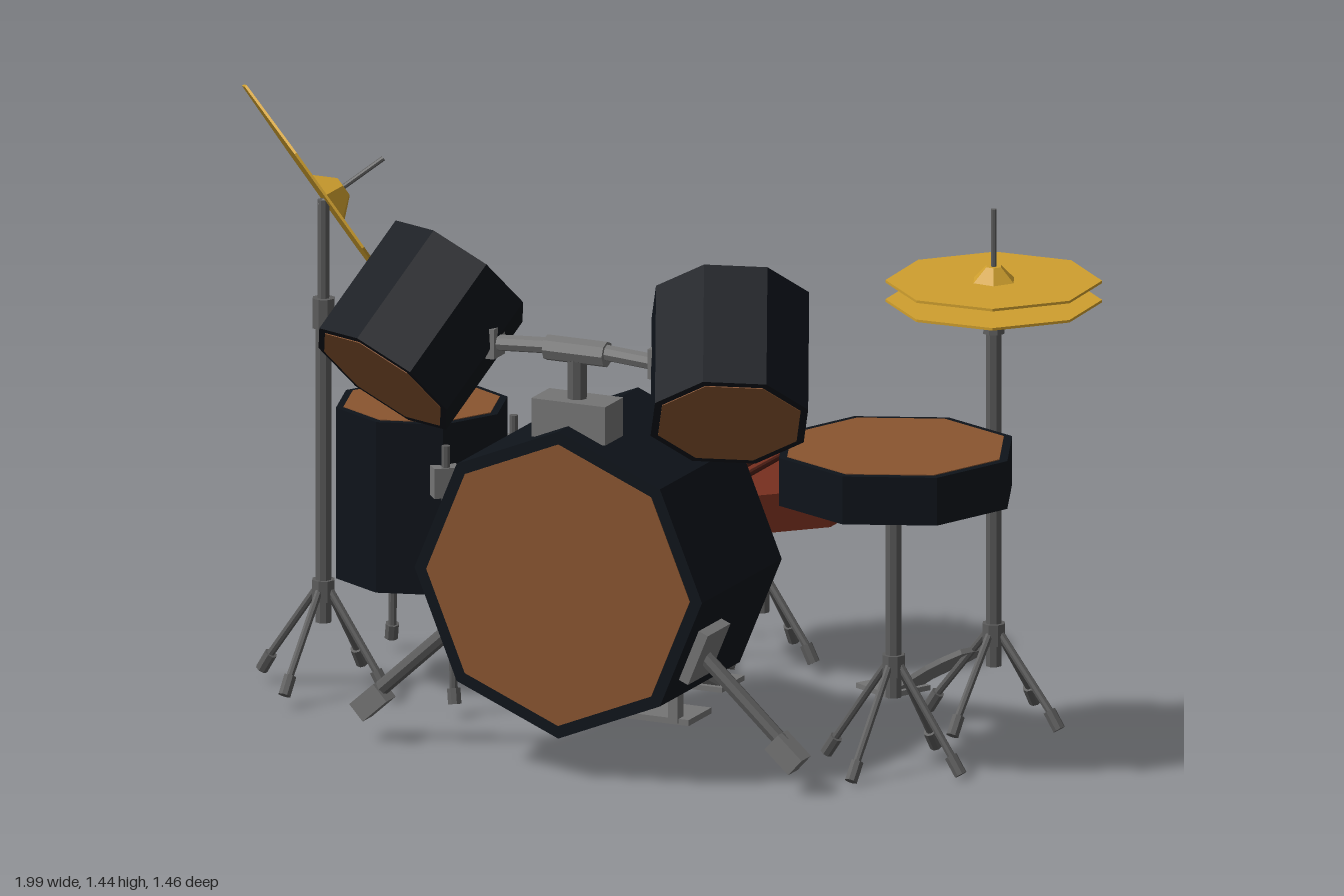
import * as THREE from 'three';

const mat = (color) => new THREE.MeshStandardMaterial({ color, flatShading: true });
const BLACK = mat(0x0e131a), SKIN = mat(0x8a5530), BRASS = mat(0xcf9f2e);
const ROD = mat(0x5c5c5c), BLOCK = mat(0x757575), RED = mat(0x78301f), STICK = mat(0x4a1d14);
const V = (x, y, z) => new THREE.Vector3(x, y, z);
const UP = V(0, 1, 0), FRONT = V(0, 0, 1);

export function createModel() {
  const kit = new THREE.Group();
  kit.name = 'drumKit';

  const group = (name) => {
    const g = new THREE.Group();
    g.name = name;
    kit.add(g);
    return g;
  };
  // Add a mesh whose local y follows n and whose local z follows u
  const put = (parent, name, geo, material, pos, n = UP, u = FRONT) => {
    const m = new THREE.Mesh(geo, material);
    m.name = name;
    const y = n.clone().normalize();
    const z = u.clone().addScaledVector(y, -u.dot(y)).normalize();
    m.quaternion.setFromRotationMatrix(
      new THREE.Matrix4().makeBasis(y.clone().cross(z), y, z));
    m.position.copy(pos);
    parent.add(m);
    return m;
  };
  const rod = (parent, name, a, b, r, material = ROD, r2 = r) => {
    const d = b.clone().sub(a);
    const u = Math.abs(d.z) > 0.9 * d.length() ? UP : FRONT;
    return put(parent, name, new THREE.CylinderGeometry(r2, r, d.length(), 8), material,
      a.clone().add(b).multiplyScalar(0.5), d, u);
  };
  const box = (parent, name, w, h, d, pos, n, u) =>
    put(parent, name, new THREE.BoxGeometry(w, h, d), BLOCK, pos, n, u);

  // Eight-sided shell with a skin on both ends
  const drum = (name, pos, n, u, r, h, rim) => {
    const g = group(name), axis = n.clone().normalize();
    put(g, 'shell', new THREE.CylinderGeometry(r, r, h, 8), BLACK, pos, n, u);
    for (const s of [-1, 1])
      put(g, 'skin', new THREE.CylinderGeometry(r - rim, r - rim, 0.004, 8), SKIN,
        pos.clone().addScaledVector(axis, s * h / 2), n, u);
    return g;
  };

  // Post with four splayed legs
  const stand = (g, x, z, top, hub, spread, floor, r = 0.019) => {
    rod(g, 'post', V(x, hub - 0.08, z), V(x, top, z), r);
    rod(g, 'hub', V(x, hub - 0.03, z), V(x, hub + 0.02, z), r + 0.008);
    for (let i = 0; i < 4; i++) {
      const a = 0.12 + i * Math.PI / 2;
      const at = (d, y) => V(x + Math.cos(a) * d, y, z + Math.sin(a) * d);
      rod(g, 'leg', at(0.015, hub), at(spread * 0.9, floor + 0.03), 0.009);
      rod(g, 'foot', at(spread * 0.85, floor + 0.04), at(spread, floor), 0.015);
    }
  };

  const cymbal = (g, name, pos, n, u, r, bell) => {
    put(g, name, new THREE.CylinderGeometry(r, r, 0.006, 8), BRASS, pos, n, u);
    if (bell) put(g, 'bell', new THREE.CylinderGeometry(bell * 0.35, bell, bell * 0.65, 6), BRASS,
      pos.clone().addScaledVector(n.clone().normalize(), bell * 0.33), n, u);
  };

  // Bass drum with its two spurs
  const bass = drum('bassDrum', V(0.05, 0.45, 0.375), FRONT, UP, 0.36, 0.42, 0.03);
  for (const s of [-1, 1]) {
    const x = (d) => 0.05 + s * d;
    box(bass, 'spurPlate', 0.13, 0.04, 0.12, V(x(0.305), 0.305, 0.47), V(s * 0.924, -0.383, 0));
    rod(bass, 'spur', V(x(0.27), 0.33, 0.47), V(x(0.51), 0.11, 0.47), 0.018);
    box(bass, 'spurFoot', 0.05, 0.08, 0.05, V(x(0.52), 0.09, 0.47), V(s, -0.9, 0));
  }

  // Tom mount on top of the bass drum
  const mount = group('tomMount');
  box(mount, 'mountBlock', 0.185, 0.09, 0.095, V(0.05, 0.82, 0.485));
  rod(mount, 'mountPost', V(0.05, 0.85, 0.485), V(0.05, 0.96, 0.485), 0.023);
  rod(mount, 'sleeve', V(-0.025, 0.975, 0.485), V(0.125, 0.975, 0.485), 0.03, BLOCK);

  // Pair of tilted toms and their arms
  for (const s of [-1, 1]) {
    const x = (d) => 0.05 + s * d;
    drum(s < 0 ? 'rightTom' : 'leftTom', V(x(0.387), 0.992, 0.495),
      V(-s * 0.095, 0.215, -0.205), V(0, 0.66, 0.72), 0.188, 0.31, 0.018);
    rod(mount, 'arm', V(x(0.06), 0.98, 0.485), V(x(0.26), 0.97, 0.495), 0.019, BLOCK);
    box(mount, 'armClamp', 0.035, 0.07, 0.06, V(x(0.21), 0.975, 0.49));
  }

  // Floor tom on bent legs
  const fx = -0.58, fz = -0.02;
  const floorTom = drum('floorTom', V(fx, 0.455, fz), UP, V(0.1, 0, -1), 0.2, 0.4, 0.018);
  for (const a of [-0.7, -2.25, 0.87]) {
    const dir = V(Math.cos(a), 0, Math.sin(a));
    const at = (d, y) => V(fx + dir.x * d, y, fz + dir.z * d);
    box(floorTom, 'legBracket', 0.06, 0.07, 0.045, at(0.205, 0.525), UP, dir);
    const bends = [at(0.215, 0.61), at(0.215, 0.24), at(0.28, 0.17), at(0.285, 0.04)];
    for (let i = 0; i < 3; i++) rod(floorTom, 'leg', bends[i], bends[i + 1], 0.01);
    rod(floorTom, 'foot', at(0.285, 0.06), at(0.295, 0.025), 0.016);
  }

  // Wide shallow drum on the left side
  const side = drum('sideDrum', V(0.695, 0.69, 0.165), UP, FRONT, 0.28, 0.112, 0.02);
  stand(side, 0.69, 0.165, 0.64, 0.24, 0.18, 0.003);

  // Tilted crash cymbal
  const crash = group('crashCymbal');
  const cn = V(0.66, 0.557, -0.5).normalize(), cp = V(-0.745, 1.15, 0.137);
  cymbal(crash, 'cymbal', cp, cn, V(-0.14, 0.28, 0.14), 0.343, 0.075);
  rod(crash, 'spike', cp.clone().addScaledVector(cn, -0.02),
    cp.clone().addScaledVector(cn, 0.16), 0.006);
  stand(crash, -0.75, 0.14, 0.88, 0.24, 0.165, 0.025);
  rod(crash, 'collar', V(-0.75, 0.85, 0.14), V(-0.75, 0.92, 0.14), 0.026);
  rod(crash, 'upperPost', V(-0.75, 0.88, 0.14), V(-0.75, 1.15, 0.14), 0.014);

  // Hi-hat pair
  const hat = group('hiHat'), hx = 0.764, hz = -0.207;
  const turn = V(0.42, 0, 0.91);
  cymbal(hat, 'topCymbal', V(hx, 1.05, hz), UP, turn, 0.245, 0.055);
  cymbal(hat, 'bottomCymbal', V(hx, 1.005, hz), UP, turn, 0.245);
  stand(hat, hx, hz, 0.95, 0.23, 0.175, 0.025);
  rod(hat, 'collar', V(hx, 0.93, hz), V(hx, 1.0, hz), 0.026, ROD, 0.016);
  rod(hat, 'pullRod', V(hx, 0.95, hz), V(hx, 1.22, hz), 0.007);

  // Waisted footboard hinged on a heel plate
  const footboard = (g, heel, toe) => {
    const half = [[0.05, 0], [0.042, 0.05], [0.06, 0.17], [0.058, 0.23], [0.04, 0.29]];
    const pts = [...half, ...half.map(([w, l]) => [-w, l]).reverse()];
    const geo = new THREE.ExtrudeGeometry(
      new THREE.Shape(pts.map(([w, l]) => new THREE.Vector2(w, l))),
      { depth: 0.012, bevelEnabled: false }).rotateX(-Math.PI / 2);
    const back = heel.clone().sub(toe).normalize();
    const n = UP.clone().addScaledVector(back, -back.y);
    put(g, 'footboard', geo, BLOCK, heel, n, back);
    const flat = V(back.x, 0, back.z).normalize();
    const c = heel.clone().addScaledVector(flat, 0.05);
    c.y = 0.028;
    box(g, 'heelPlate', 0.12, 0.012, 0.12, c, UP, flat);
  };
  footboard(hat, V(0.49, 0.035, -0.325), V(0.74, 0.19, -0.2));

  // Bass pedal with frame and beater
  const pedal = group('bassPedal');
  footboard(pedal, V(0.05, 0.035, -0.16), V(0.05, 0.175, 0.1));
  box(pedal, 'basePlate', 0.225, 0.014, 0.12, V(0.05, 0.028, 0.075));
  rod(pedal, 'axle', V(-0.075, 0.23, 0.125), V(0.175, 0.23, 0.125), 0.012);
  for (const s of [-1, 1]) {
    box(pedal, 'upright', 0.025, 0.21, 0.03, V(0.05 + s * 0.075, 0.13, 0.125));
    box(pedal, 'axleBlock', 0.035, 0.035, 0.035, V(0.05 + s * 0.075, 0.23, 0.125));
  }
  rod(pedal, 'strap', V(0.05, 0.17, 0.09), V(0.05, 0.23, 0.125), 0.01);
  rod(pedal, 'beaterRod', V(0.05, 0.23, 0.125), V(0.05, 0.42, 0.118), 0.01);
  rod(pedal, 'beater', V(0.05, 0.405, 0.115), V(0.05, 0.465, 0.115), 0.042, BLOCK);

  // Round stool with a pair of sticks on the seat
  const stool = group('stool');
  put(stool, 'seat', new THREE.CylinderGeometry(0.232, 0.232, 0.09, 8), RED,
    V(0.045, 0.41, -0.495), UP, V(0.383, 0, 0.924));
  stand(stool, 0.045, -0.495, 0.37, 0.2, 0.14, 0.02);
  for (const x of [0.013, 0.053])
    rod(stool, 'stick', V(x, 0.464, -0.275), V(x, 0.464, -0.73), 0.008, STICK, 0.006);

  return kit;
}
